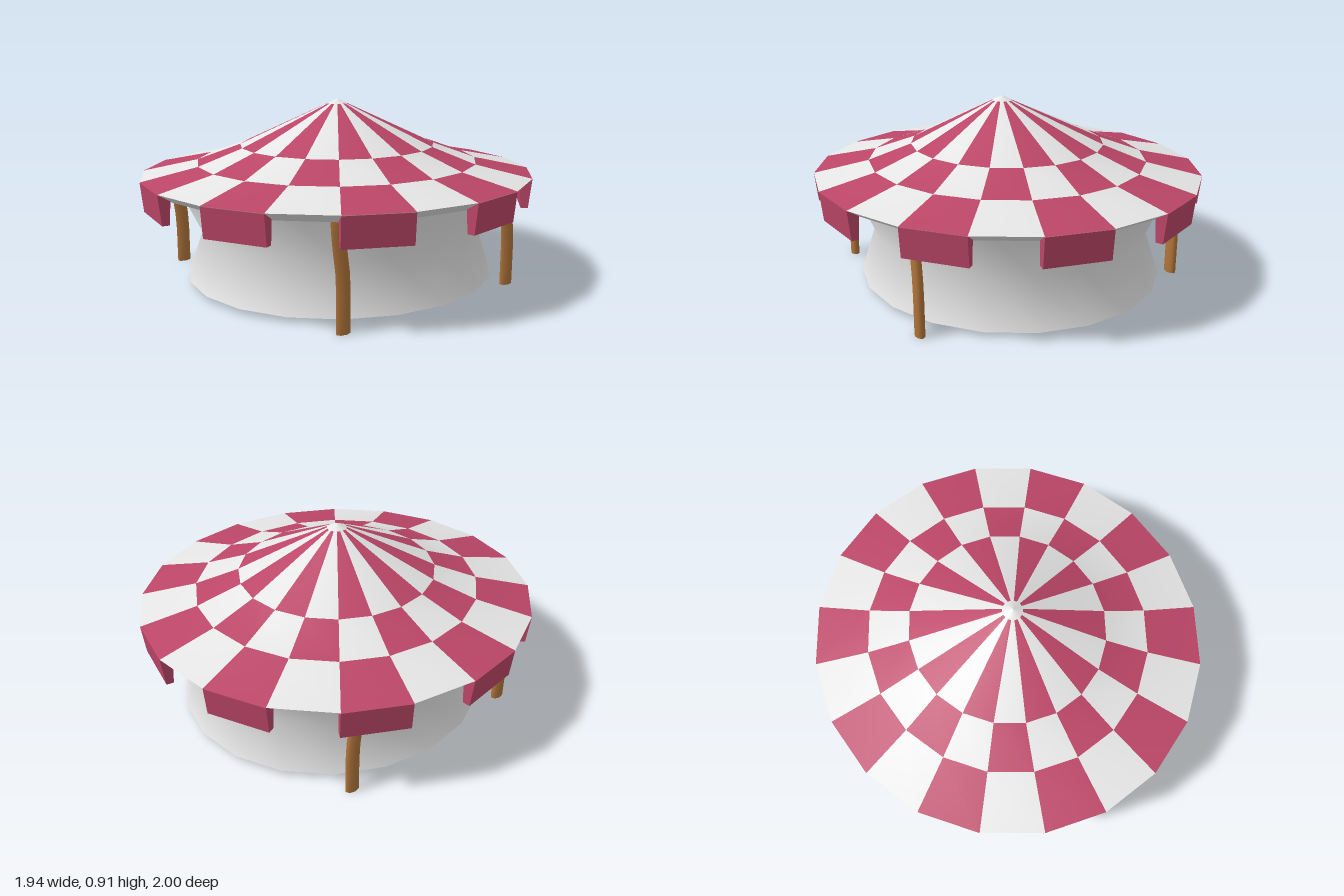
import * as THREE from 'three';

const SIDES = 20;   // panels around the canopy
const OVAL = 0.97;  // canopy is slightly narrower in x

function material(name, color, side = THREE.FrontSide) {
  const m = new THREE.MeshStandardMaterial({ color, side });
  m.name = name;
  return m;
}

const points = (list) => list.map(([r, y]) => new THREE.Vector2(r, y));

export function createModel() {
  const group = new THREE.Group();
  const white = material('whiteCanvas', 0xe6e6e6, THREE.DoubleSide);
  const pink = material('pinkCanvas', 0xbc4668, THREE.DoubleSide);
  const wood = material('brownWood', 0xb0743a);

  const add = (name, geometry, mat) => {
    const mesh = new THREE.Mesh(geometry, mat);
    mesh.name = name;
    group.add(mesh);
    return mesh;
  };

  // Checkered roof: panels alternate around and up the slope, with a white tip
  const roofProfile = points([[1, 0.545], [0.72, 0.602], [0.5, 0.68], [0.05, 0.888], [0, 0.912]]);
  const roof = new THREE.LatheGeometry(roofProfile, SIDES);
  const bands = roofProfile.length - 1;
  roof.clearGroups();
  for (let i = 0; i < SIDES; i++) {
    for (let j = 0; j < bands; j++) {
      const isPink = j < 3 && (i + j) % 2 === 1;
      roof.addGroup((i * bands + j) * 6, 6, isPink ? 1 : 0);
    }
  }
  roof.scale(OVAL, 1, 1);
  // Peak sits a touch off centre
  const rp = roof.attributes.position;
  for (let i = 0; i < rp.count; i++) {
    if (rp.getY(i) > 0.8) {
      rp.setX(i, rp.getX(i) + 0.02);
      rp.setZ(i, rp.getZ(i) + 0.015);
    }
  }
  add('roof', roof, [white, pink]);

  // Short rim skirt leaning inwards below the roof edge
  const skirt = new THREE.LatheGeometry(points([[0.93, 0.5], [1, 0.545]]), SIDES);
  add('rimSkirt', skirt.scale(OVAL, 1, 1), white);

  // Flat ceiling closing the roof from below
  const ceiling = new THREE.CircleGeometry(0.995, SIDES);
  ceiling.rotateX(Math.PI / 2).rotateY(Math.PI / 2).scale(OVAL, 1, 1).translate(0, 0.543, 0);
  add('ceiling', ceiling, white);

  // Waisted canvas wall, open at the bottom
  const wall = new THREE.LatheGeometry(points([[0.805, 0.025], [0.725, 0.255], [0.862, 0.543]]), SIDES);
  add('wall', wall.scale(0.95, 1, 1).translate(0, 0, -0.025), white);

  // Hanging valance blocks under every second rim panel
  const valances = new THREE.Group();
  valances.name = 'valances';
  group.add(valances);
  for (let i = 1; i < SIDES; i += 2) {
    const corner = (k) => {
      const a = (k / SIDES) * Math.PI * 2;
      return new THREE.Vector3(Math.sin(a) * OVAL, 0, Math.cos(a));
    };
    const a = corner(i), b = corner(i + 1);
    const inward = a.clone().add(b).normalize().negate();
    const box = new THREE.BoxGeometry(1, 1, 1);
    const p = box.attributes.position;
    for (let v = 0; v < p.count; v++) {
      const top = p.getY(v) > 0;
      const c = (p.getX(v) < 0 ? a : b).clone();
      const inset = p.getZ(v) < 0 ? (top ? 0.06 : 0.05) : (top ? 0 : 0.015);
      c.addScaledVector(inward, inset);
      p.setXYZ(v, c.x, top ? 0.542 : 0.4, c.z);
    }
    box.computeVertexNormals();
    const mesh = new THREE.Mesh(box, pink);
    mesh.name = 'valance';
    valances.add(mesh);
  }

  // Slightly bent wooden posts
  for (const [x, z] of [[0.69, 0.502], [0.69, -0.537], [-0.66, 0.56], [-0.72, -0.47]]) {
    const post = new THREE.CylinderGeometry(1, 1, 0.54, 8, 6);
    post.scale(0.023, 1, 0.037).translate(0, 0.27, 0);
    const p = post.attributes.position;
    for (let v = 0; v < p.count; v++) {
      const lean = THREE.MathUtils.smoothstep(p.getY(v), 0.2, 0.48) * 0.028;
      p.setZ(v, p.getZ(v) + lean);
    }
    post.computeVertexNormals();
    add('post', post.translate(x, 0, z), wood);
  }

  return group;
}
